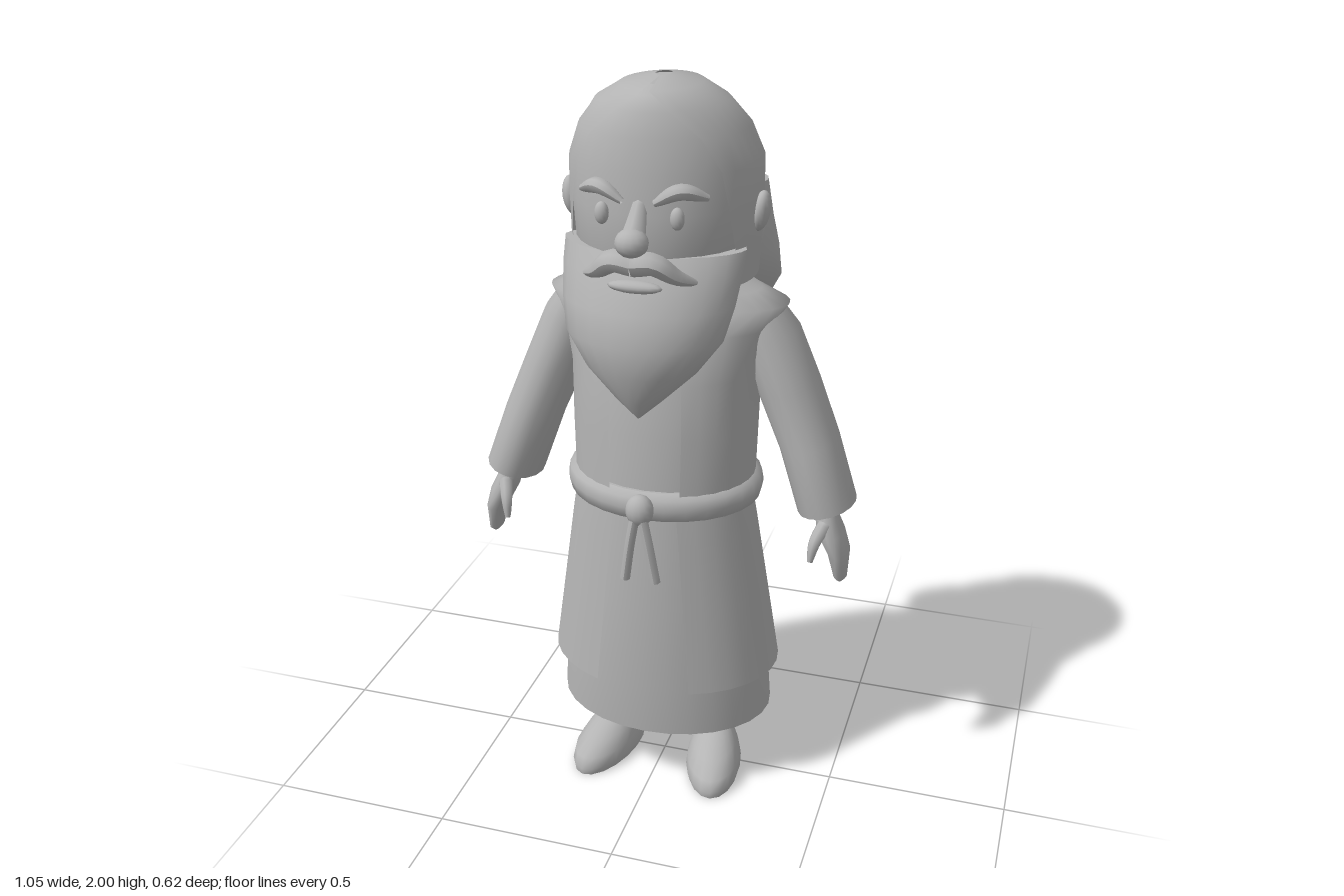
import * as THREE from 'three';

const clay = new THREE.MeshStandardMaterial({ color: 0xb4b4b4, side: THREE.DoubleSide });
clay.name = 'clay grey';

// Skins rings listed bottom to top: [y, centreX, radiusX, zFront, zBack, frontGap].
// frontGap (radians) leaves the front open; pinch above 1 sharpens front and back; tilt slopes rings sideways.
function loft(rings, { n = 20, pinch = 1, tilt = 0, open = false, caps = true, mx = 1 } = {}) {
  const pos = [], idx = [];
  const cols = open ? n + 1 : n;
  const point = ([y, cx, rx, zf, zb, gap = 0], j) => {
    const a = open ? gap + (j / n) * (2 * Math.PI - 2 * gap) : (j / n) * 2 * Math.PI;
    const c = Math.cos(a), x = rx * Math.sin(a);
    const z = (zf + zb) / 2 + ((zf - zb) / 2) * Math.sign(c) * Math.abs(c) ** pinch;
    return [cx * mx + x, y + tilt * mx * x, z];
  };
  rings.forEach((r) => { for (let j = 0; j < cols; j++) pos.push(...point(r, j)); });
  for (let i = 0; i < rings.length - 1; i++) {
    for (let j = 0; j < n; j++) {
      const k = open ? j + 1 : (j + 1) % n;
      const a = i * cols + j, b = i * cols + k;
      idx.push(a, b, b + cols, a, b + cols, a + cols);
    }
  }
  if (caps && !open) {
    [rings[0], rings[rings.length - 1]].forEach((r, end) => {
      const base = pos.length / 3;
      for (let j = 0; j < n; j++) pos.push(...point(r, j));
      pos.push(r[1] * mx, r[0], (r[3] + r[4]) / 2);
      for (let j = 0; j < n; j++) {
        const a = base + j, b = base + (j + 1) % n;
        if (end) idx.push(a, b, base + n); else idx.push(b, a, base + n);
      }
    });
  }
  const g = new THREE.BufferGeometry();
  g.setAttribute('position', new THREE.Float32BufferAttribute(pos, 3));
  g.setIndex(idx);
  g.computeVertexNormals();
  return g;
}

export function createModel() {
  const model = new THREE.Group();
  const add = (name, geometry) => {
    const m = new THREE.Mesh(geometry, clay);
    m.name = name;
    model.add(m);
    return m;
  };
  const blob = (name, p, s, rotZ = 0) => {
    const m = add(name, new THREE.SphereGeometry(1, 14, 10));
    m.position.set(...p);
    m.scale.set(...s);
    m.rotation.z = rotZ;
    return m;
  };
  // Tube along points, thinning to its ends by the given radius rule
  const strand = (name, pts, r, taper = () => 1) => {
    const curve = new THREE.CatmullRomCurve3(pts.map((p) => new THREE.Vector3(...p)));
    const g = new THREE.TubeGeometry(curve, 12, r, 8);
    const pos = g.attributes.position, v = new THREE.Vector3();
    for (let i = 0; i < pos.count; i++) {
      const t = Math.floor(i / 9) / 12, c = curve.getPointAt(t);
      v.fromBufferAttribute(pos, i).sub(c).multiplyScalar(taper(t)).add(c);
      pos.setXYZ(i, v.x, v.y, v.z);
    }
    g.computeVertexNormals();
    return add(name, g);
  };

  // Robe: inner skirt, open overskirt, tunic and open vest
  add('innerSkirt', loft([
    [0.2, 0, 0.305, 0.205, -0.26], [0.35, 0, 0.295, 0.21, -0.25],
    [0.6, 0, 0.265, 0.205, -0.215], [0.9, 0, 0.225, 0.185, -0.185]], { n: 28 }));
  add('overskirt', loft([
    [0.355, 0, 0.325, 0.235, -0.275, 0.42], [0.6, 0, 0.288, 0.22, -0.24, 0.4],
    [0.8, 0, 0.258, 0.208, -0.21, 0.38], [0.91, 0, 0.24, 0.2, -0.195, 0.36]], { n: 28, open: true }));
  add('tunic', loft([
    [0.9, 0, 0.235, 0.19, -0.2], [1.1, 0, 0.24, 0.18, -0.2], [1.3, 0, 0.24, 0.155, -0.19],
    [1.42, 0, 0.22, 0.12, -0.17], [1.52, 0, 0.13, 0.09, -0.12]], { n: 24 }));
  add('vest', loft([
    [0.92, 0, 0.247, 0.205, -0.215, 0.4], [1.1, 0, 0.252, 0.198, -0.212, 0.4],
    [1.25, 0, 0.255, 0.185, -0.208, 0.38], [1.37, 0, 0.285, 0.15, -0.2, 0.35],
    [1.43, 0, 0.322, 0.115, -0.185, 0.35], [1.465, 0, 0.25, 0.1, -0.16, 0.3],
    [1.52, 0, 0.16, 0.09, -0.13, 0.3]], { n: 28, open: true }));

  // Rope belt with knot and hanging ends
  add('belt', loft([
    [0.872, 0, 0.24, 0.195, -0.2], [0.88, 0, 0.262, 0.215, -0.225], [0.91, 0, 0.27, 0.222, -0.235],
    [0.94, 0, 0.265, 0.218, -0.228], [0.952, 0, 0.24, 0.195, -0.205]], { n: 28 }));
  blob('beltKnot', [0, 0.915, 0.228], [0.038, 0.044, 0.034]);
  for (const [x, y] of [[-0.04, 0.71], [0.045, 0.71]])
    strand('beltEnd', [[x * 0.2, 0.91, 0.24], [x * 0.6, 0.82, 0.24], [x, y, 0.235]], 0.014);

  for (const s of [1, -1]) {
    // Sleeve, hand and thumb
    add('sleeve', loft([
      [0.882, 0.445, 0.06, 0.055, -0.1], [0.878, 0.447, 0.077, 0.075, -0.125],
      [1.05, 0.388, 0.077, 0.06, -0.145], [1.2, 0.325, 0.08, 0.05, -0.155],
      [1.34, 0.268, 0.078, 0.045, -0.15], [1.43, 0.235, 0.05, 0.025, -0.11]],
    { n: 16, tilt: 0.25, mx: s }));
    add('hand', loft([
      [0.678, 0.5, 0.008, 0.035, 0.005], [0.69, 0.5, 0.018, 0.05, -0.015],
      [0.76, 0.492, 0.029, 0.07, -0.045], [0.82, 0.468, 0.037, 0.075, -0.045],
      [0.86, 0.455, 0.032, 0.055, -0.035], [0.91, 0.448, 0.03, 0.04, -0.03]], { n: 12, mx: s }));
    strand('thumb', [[s * 0.455, 0.85, 0.045], [s * 0.437, 0.81, 0.085], [s * 0.43, 0.762, 0.1]],
      0.019, (t) => 1 - 0.6 * t * t);

    // Leg and shoe
    add('leg', loft([
      [0.05, 0.135, 0.05, 0.01, -0.1], [0.13, 0.135, 0.046, 0.0, -0.092],
      [0.3, 0.135, 0.055, 0.015, -0.11]], { n: 12, mx: s }));
    const shoe = add('shoe', loft([
      [0, 0, 0.075, 0.165, -0.165], [0.02, 0, 0.08, 0.168, -0.165],
      [0.05, 0, 0.076, 0.155, -0.15], [0.08, 0, 0.062, 0.1, -0.14],
      [0.105, 0, 0.045, 0.035, -0.125], [0.115, 0, 0.03, -0.005, -0.11]], { n: 18 }));
    shoe.position.set(s * 0.16, 0, 0.035);
    shoe.rotation.y = s * 0.2;

    // Ear, eye and brow
    blob('ear', [s * 0.248, 1.675, 0.0], [0.024, 0.052, 0.035], -s * 0.15);
    blob('eye', [s * 0.095, 1.7, 0.212], [0.018, 0.028, 0.016]);
    strand('brow', [[s * 0.04, 1.735, 0.222], [s * 0.1, 1.765, 0.21], [s * 0.16, 1.745, 0.17]],
      0.02, (t) => 0.4 + 0.6 * Math.sin(Math.PI * t));
    // Half of the moustache
    strand('moustache', [[0, 1.595, 0.265], [s * 0.05, 1.6, 0.265], [s * 0.1, 1.565, 0.24], [s * 0.15, 1.54, 0.2]],
      0.03, (t) => 1.05 - 0.9 * t * t);
  }

  // Head and nose
  add('head', loft([
    [1.4, 0, 0.12, 0.12, -0.14], [1.5, 0, 0.19, 0.19, -0.2], [1.6, 0, 0.228, 0.222, -0.24],
    [1.7, 0, 0.238, 0.222, -0.25], [1.8, 0, 0.234, 0.215, -0.245], [1.88, 0, 0.204, 0.203, -0.2],
    [1.94, 0, 0.155, 0.185, -0.145], [1.975, 0, 0.1, 0.16, -0.1], [1.99, 0, 0.05, 0.1, -0.05]], { n: 28 }));
  strand('noseBridge', [[0, 1.73, 0.205], [0, 1.69, 0.235], [0, 1.65, 0.27]], 0.03, (t) => 0.6 + 0.5 * t);
  blob('nose', [0, 1.65, 0.272], [0.042, 0.036, 0.038]);

  // Hair: swept cap with receding hairline, and long back hair
  add('hairCap', loft([
    [1.5, 0, 0.235, 0.2, -0.25, 1.15], [1.6, 0, 0.243, 0.222, -0.258, 1.05],
    [1.7, 0, 0.246, 0.228, -0.262, 0.95], [1.8, 0, 0.245, 0.222, -0.258, 0.85],
    [1.88, 0, 0.215, 0.21, -0.215, 0.7], [1.945, 0, 0.165, 0.192, -0.155, 0.4],
    [1.985, 0, 0.1, 0.16, -0.105, 0.1], [2.0, 0, 0.02, 0.04, -0.02, 0]], { n: 28, open: true }));
  add('backHair', loft([
    [1.3, 0, 0.04, -0.2, -0.25], [1.325, 0, 0.13, -0.15, -0.272], [1.38, 0, 0.225, -0.09, -0.3],
    [1.46, 0, 0.268, -0.03, -0.312], [1.54, 0, 0.265, 0.0, -0.292], [1.62, 0, 0.252, 0.01, -0.265],
    [1.72, 0, 0.235, 0.0, -0.255]], { n: 24 }));

  // Pointed beard, rising to sideburns
  add('beard', loft([
    [1.18, 0, 0.004, 0.234, 0.226], [1.23, 0, 0.06, 0.268, 0.18], [1.31, 0, 0.145, 0.3, 0.115],
    [1.39, 0, 0.205, 0.31, 0.05], [1.47, 0, 0.224, 0.29, 0.0], [1.55, 0, 0.234, 0.248, -0.03],
    [1.6, 0, 0.236, 0.215, -0.04]], { n: 24, pinch: 1.25 }));
  blob('lowerLip', [0, 1.535, 0.252], [0.07, 0.016, 0.022]);

  return model;
}
